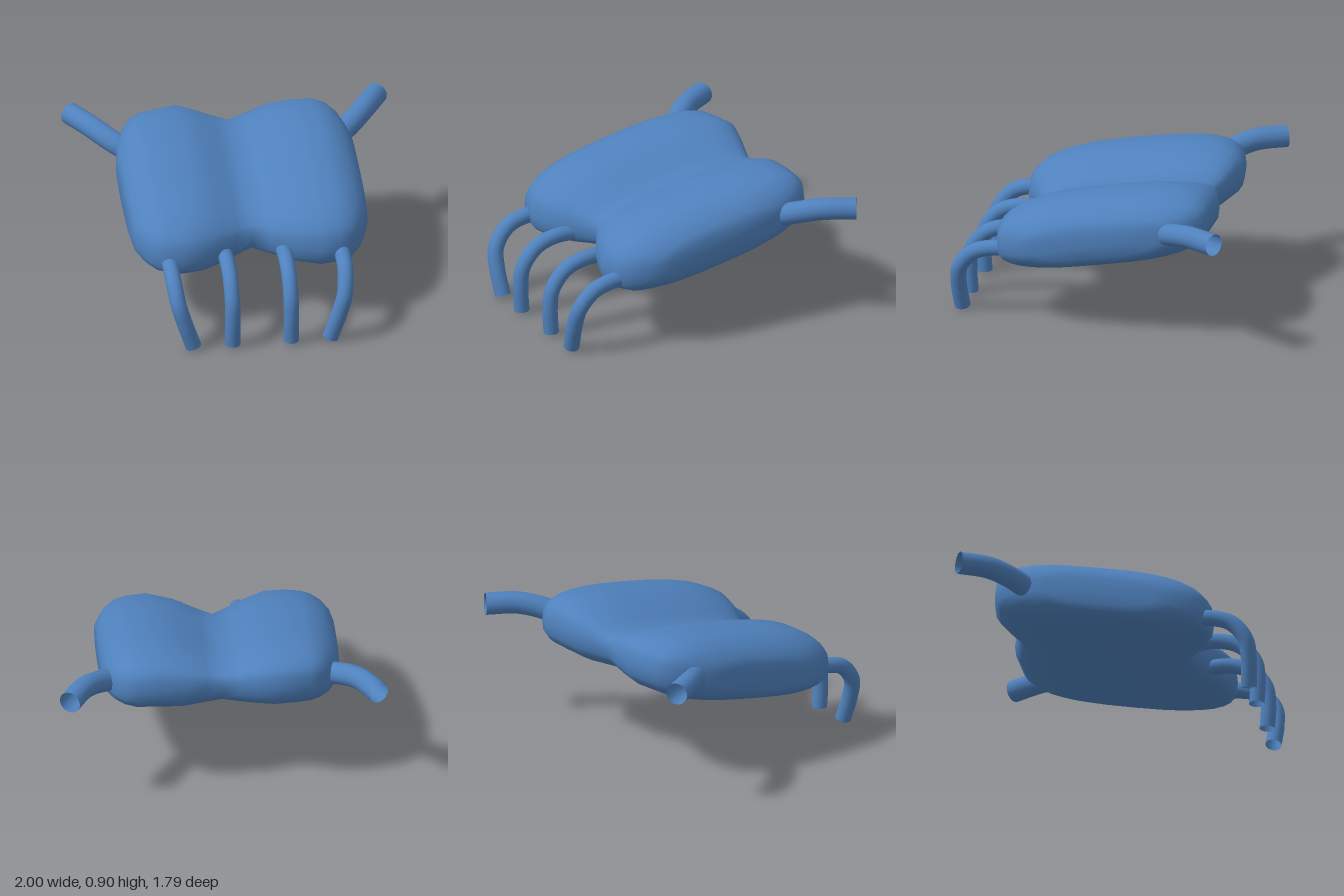
import * as THREE from 'three';

const blue = new THREE.MeshStandardMaterial({ color: 0x4f81bd, side: THREE.DoubleSide });
blue.name = 'blue';

// Two-lobed cushion body, lofted along x from rounded side sections
function makeBody() {
  // x, back z, front z, height above the sloping midline, depth below it
  const stations = [
    [-0.73, -0.1, 0.0, 0.01, 0.01],
    [-0.73, -0.36, 0.3, 0.08, 0.09],
    [-0.71, -0.47, 0.41, 0.13, 0.13],
    [-0.66, -0.6, 0.51, 0.18, 0.16],
    [-0.6, -0.68, 0.58, 0.21, 0.18],
    [-0.54, -0.71, 0.6, 0.23, 0.195],
    [-0.45, -0.73, 0.62, 0.235, 0.2],
    [-0.32, -0.75, 0.6, 0.24, 0.2],
    [-0.2, -0.72, 0.54, 0.2, 0.195],
    [-0.1, -0.69, 0.48, 0.155, 0.185],
    [0, -0.66, 0.42, 0.12, 0.175],
    [0.1, -0.69, 0.48, 0.155, 0.185],
    [0.24, -0.73, 0.56, 0.215, 0.2],
    [0.4, -0.73, 0.615, 0.245, 0.2],
    [0.52, -0.73, 0.6, 0.235, 0.195],
    [0.59, -0.7, 0.575, 0.215, 0.18],
    [0.65, -0.63, 0.5, 0.18, 0.155],
    [0.69, -0.54, 0.42, 0.14, 0.13],
    [0.72, -0.44, 0.32, 0.1, 0.09],
    [0.72, -0.1, 0.0, 0.01, 0.01],
  ];
  const n = 32, pos = [], idx = [];
  const bulge = (v) => Math.sign(v) * Math.abs(v) ** 0.7;
  stations.forEach(([x, back, front, up, down], i) => {
    for (let j = 0; j < n; j++) {
      const a = (j / n) * Math.PI * 2;
      const z = (front + back) / 2 + ((front - back) / 2) * bulge(Math.cos(a));
      const s = bulge(Math.sin(a));
      pos.push(x, 0.59 - 0.18 * z + s * (s > 0 ? up : down), z);
      if (i === stations.length - 1) continue;
      const p = i * n + j, q = i * n + ((j + 1) % n);
      idx.push(p, p + n, q + n, p, q + n, q);
    }
  });
  // Close both ends
  const last = (stations.length - 1) * n;
  for (let j = 1; j < n - 1; j++) {
    idx.push(0, j, j + 1, last, last + j + 1, last + j);
  }
  const geo = new THREE.BufferGeometry();
  geo.setAttribute('position', new THREE.Float32BufferAttribute(pos, 3));
  geo.setIndex(idx);
  geo.computeVertexNormals();
  return geo;
}

// Open tube through points, mirrored to the given side
function makeTube(name, side, radius, points) {
  const curve = new THREE.CatmullRomCurve3(
    points.map(([x, y, z]) => new THREE.Vector3(x * side, y, z)));
  const mesh = new THREE.Mesh(new THREE.TubeGeometry(curve, 32, radius, 24), blue);
  mesh.name = name;
  return mesh;
}

export function createModel() {
  const model = new THREE.Group();
  model.name = 'model';

  const body = new THREE.Mesh(makeBody(), blue);
  body.name = 'body';
  model.add(body);

  for (const side of [1, -1]) {
    const label = side > 0 ? 'left' : 'right';
    model.add(
      // Inner leg drops straight down
      makeTube(label + 'InnerLeg', side, 0.047, [
        [0.18, 0.44, 0.4], [0.18, 0.455, 0.6], [0.18, 0.41, 0.74],
        [0.18, 0.3, 0.83], [0.18, 0.18, 0.848], [0.18, 0.015, 0.84],
      ]),
      // Outer leg curls inwards
      makeTube(label + 'OuterLeg', side, 0.049, [
        [0.53, 0.44, 0.45], [0.53, 0.45, 0.6], [0.527, 0.41, 0.74],
        [0.51, 0.3, 0.83], [0.475, 0.18, 0.845], [0.42, 0.016, 0.835],
      ]),
      // Rear arm sweeps out and back
      makeTube(label + 'RearArm', side, 0.068, [
        [0.6, 0.66, -0.46], [0.72, 0.71, -0.55],
        [0.84, 0.752, -0.69], [0.941, 0.755, -0.863],
      ]),
    );
  }
  return model;
}
